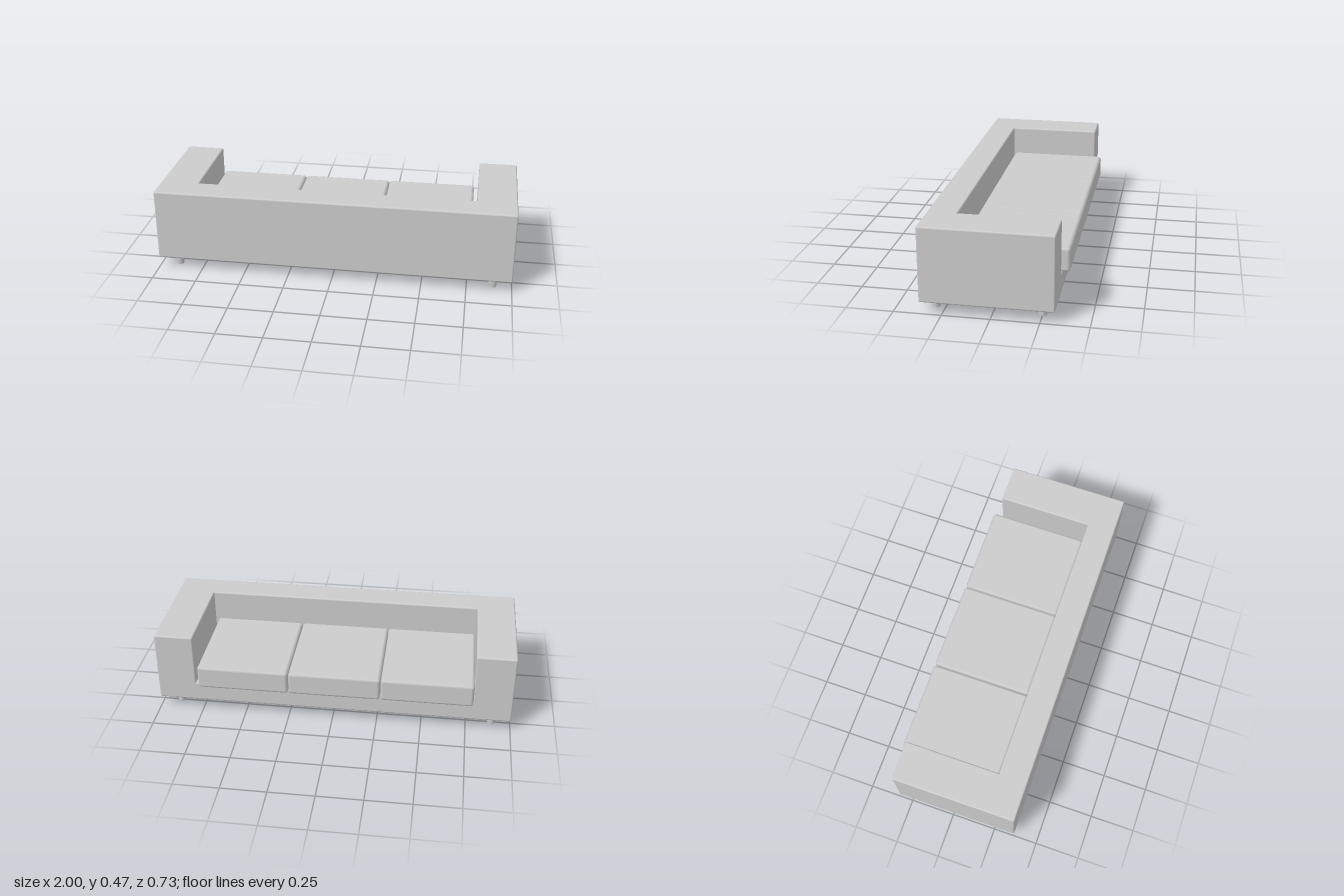
import * as THREE from 'three';
import { RoundedBoxGeometry } from 'three/addons/geometries/RoundedBoxGeometry.js';

const material = new THREE.MeshStandardMaterial({ color: 0xcccccc });

function addPart(group, name, geometry, x, y, z) {
  const mesh = new THREE.Mesh(geometry, material);
  mesh.name = name;
  mesh.position.set(x, y, z);
  group.add(mesh);
}

// Soft-edged block given by its [min, max] range on each axis
function addBlock(group, name, [x0, x1], [y0, y1], [z0, z1], segments, radius) {
  const geometry = new RoundedBoxGeometry(x1 - x0, y1 - y0, z1 - z0, segments, radius);
  addPart(group, name, geometry, (x0 + x1) / 2, (y0 + y1) / 2, (z0 + z1) / 2);
}

export function createModel() {
  const sofa = new THREE.Group();
  sofa.name = 'sofa';
  const bottom = 0.062, top = 0.471;
  const height = [bottom, top], depth = [-0.325, 0.367];

  // Backrest, arms and seat base overlap flush, forming one upholstered body
  addBlock(sofa, 'backrest', [-1, 1], height, [0.207, 0.367], 3, 0.009);
  addBlock(sofa, 'leftArm', [0.782, 1], height, depth, 3, 0.009);
  addBlock(sofa, 'rightArm', [-1, -0.782], height, depth, 3, 0.009);
  addBlock(sofa, 'seatBase', [-1, 1], [bottom, 0.175], depth, 3, 0.009);

  // Three seat cushions, projecting slightly past the arms
  for (let i = 0; i < 3; i++) {
    const x = -0.784 + i * 0.515;
    addBlock(sofa, 'seatCushion' + (i + 1), [x, x + 0.513], [0.173, 0.307], [-0.367, 0.2], 1, 0.017);
  }

  // Tapered legs
  for (const x of [-0.895, 0.895]) {
    for (const z of [-0.25, 0.3]) {
      addPart(sofa, 'leg', new THREE.CylinderGeometry(0.026, 0.021, 0.066, 24), x, 0.033, z);
    }
  }
  return sofa;
}
